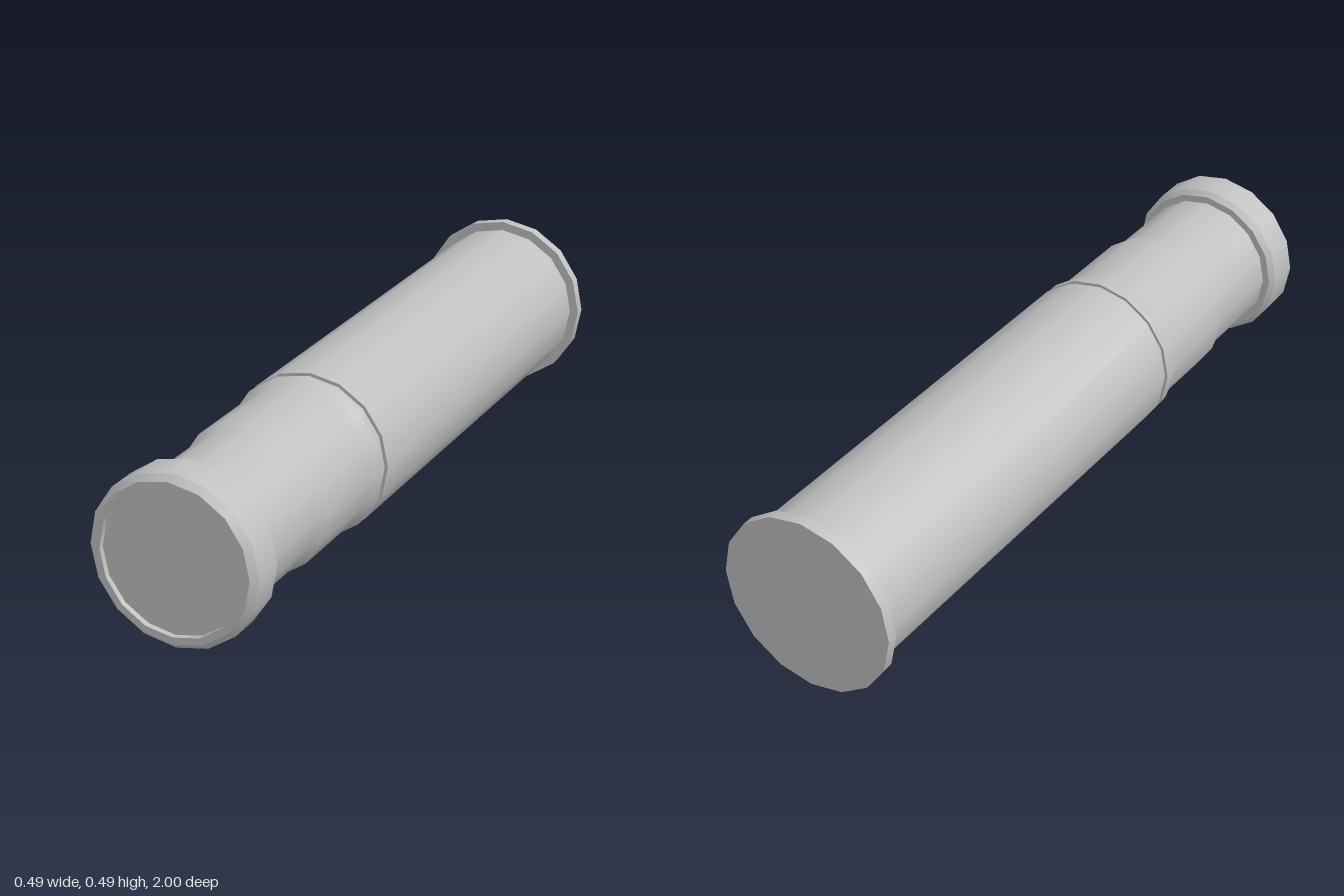
import * as THREE from 'three';
import { mergeGeometries } from 'three/addons/utils/BufferGeometryUtils.js';

const SIDES = 16;
const AXIS_Y = 0.247;

// Surface of revolution about z from [radius, z] pairs running back to front.
// Smooth around the axis; each band keeps a sharp edge unless smooth is set.
function turned(profile, smooth = false) {
  const pts = profile.map(([r, z]) => new THREE.Vector2(r, z));
  const bands = smooth ? [pts] : pts.slice(1).map((p, i) => [pts[i], p]);
  const geo = mergeGeometries(bands.map((b) => new THREE.LatheGeometry(b, SIDES)));
  return geo.rotateX(Math.PI / 2);
}

export function createModel() {
  const group = new THREE.Group();
  const metal = new THREE.MeshStandardMaterial({ color: 0xc0c0c0 });
  metal.name = 'light grey metal';

  const add = (name, profile, smooth) => {
    const mesh = new THREE.Mesh(turned(profile, smooth), metal);
    mesh.name = name;
    mesh.position.y = AXIS_Y;
    group.add(mesh);
  };

  // Closed rear flange
  add('rearFlange', [[0, -1], [0.245, -1], [0.245, -0.97], [0.218, -0.97]]);

  // Long main tube and the narrow groove in front of it
  add('mainTube', [[0.22, -0.97], [0.22, 0.285], [0.211, 0.285], [0.211, 0.305], [0.219, 0.305]]);

  // Neck stepping down twice with soft shoulders
  add('neck', [[0.219, 0.305], [0.219, 0.325], [0.206, 0.37], [0.206, 0.6], [0.193, 0.645], [0.193, 0.885]], true);

  // Bevelled front collar with a shallow recessed face
  add('frontCollar', [[0.19, 0.88], [0.213, 0.88], [0.226, 0.895], [0.226, 0.983],
    [0.21, 1], [0.191, 1], [0.191, 0.985], [0, 0.985]]);

  return group;
}
